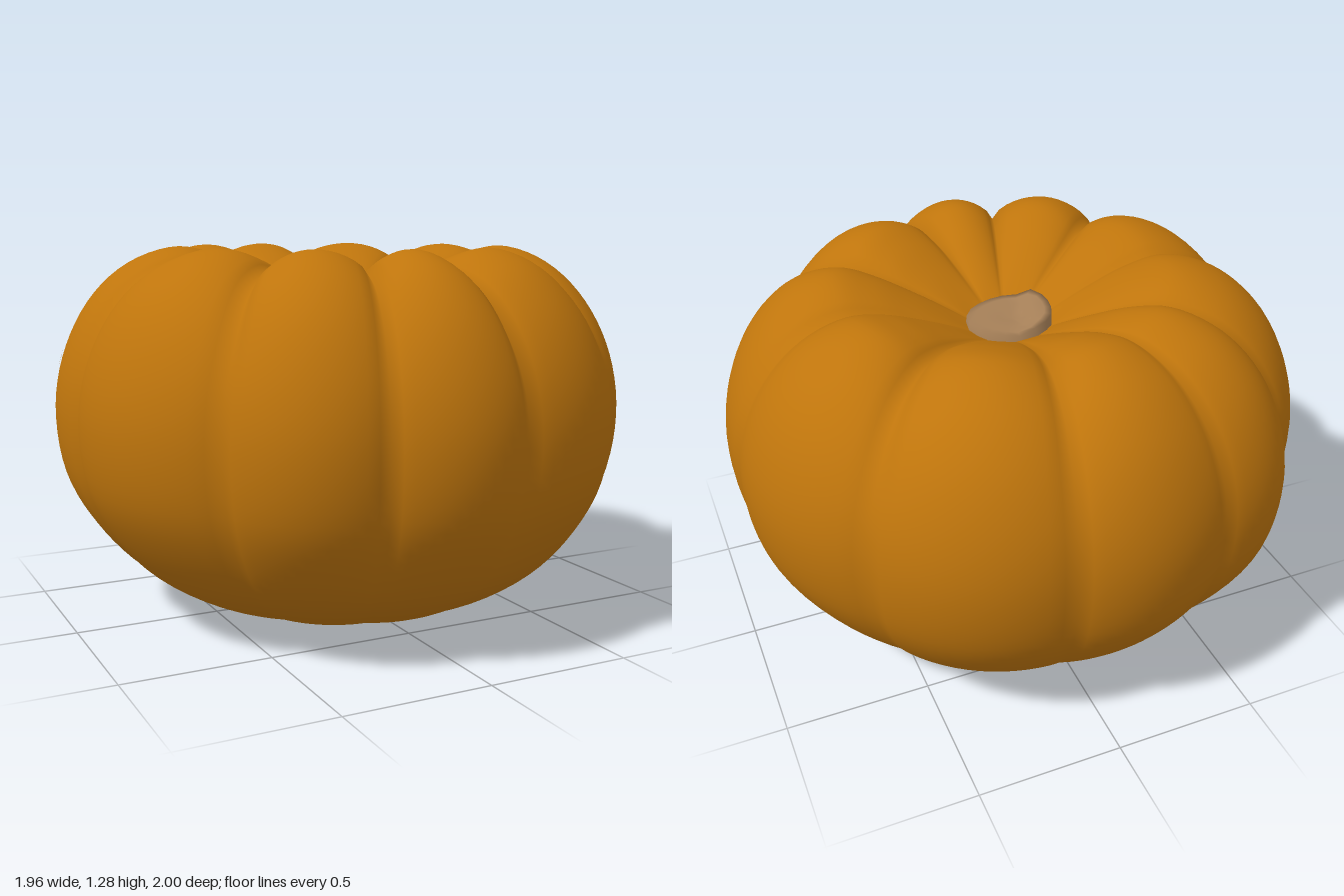
import * as THREE from 'three';

const orange = new THREE.MeshStandardMaterial({ color: 0xbf750c });
orange.name = 'orange rind';
const brown = new THREE.MeshStandardMaterial({ color: 0xa68058 });
brown.name = 'dry stem';

// Rib boundaries: angle in degrees (from +x towards +z), groove strength,
// drift near the stem, and extra fullness of the rib that follows
const grooves = [[0, 0.75, 0, -0.008], [42, 1.05, -6, -0.015], [80, 1, 0, 0], [108, 0.95, 0, 0.02],
  [138, 0.95, 6, 0.012], [180, 0.55, 0, 0.02], [219, 0.75, 0, 0.025], [247, 0.5, 0, 0.005],
  [279, 0.8, -2, 0.01], [318, 1, 2, -0.01], [360, 0.75, 0, 0]];

// Matching profiles (radius, height) from stem to base, on a rib crest and in a groove
const curve = (pts) => new THREE.CatmullRomCurve3(pts.map(([r, y]) => new THREE.Vector3(r, y, 0)));
const crest = curve([[0.11, 1.075], [0.21, 1.135], [0.32, 1.195], [0.45, 1.255], [0.58, 1.283],
  [0.74, 1.228], [0.875, 1.1], [0.965, 0.92], [1, 0.72], [0.97, 0.5], [0.88, 0.33],
  [0.755, 0.19], [0.58, 0.08], [0.4, 0.022], [0.2, 0], [0.06, 0.01]]);
const valley = curve([[0.1, 1.07], [0.2, 1.115], [0.3, 1.15], [0.42, 1.183], [0.55, 1.193],
  [0.7, 1.15], [0.82, 1.05], [0.91, 0.9], [0.945, 0.72], [0.925, 0.5], [0.855, 0.335],
  [0.745, 0.195], [0.575, 0.085], [0.4, 0.025], [0.2, 0.003], [0.06, 0.01]]);

// Point on the rind at an angle (degrees) and profile position v (0 top, 1 base)
function rindPoint(angle, v, lift = 0) {
  const { lerp, smoothstep, degToRad } = THREE.MathUtils;
  const i = Math.max(0, grooves.findIndex((g) => angle < g[0]) - 1);
  const [a0, s0, d0, full] = grooves[i], [a1, s1, d1] = grooves[i + 1];
  const t = (angle - a0) / (a1 - a0);
  // Creases are sharper over the shoulder than around the sides
  const sharp = lerp(0.62, 0.75, smoothstep(v, 0.3, 0.6));
  const bulge = Math.pow(Math.max(0, Math.sin(Math.PI * t)), sharp);
  const p = crest.getPoint(v);
  p.addScaledVector(valley.getPoint(v).sub(p), (1 - bulge) * lerp(s0, s1, t));
  const swell = full * bulge * smoothstep(v, 0.2, 0.4) * (1 - smoothstep(v, 0.6, 0.9));
  const drift = lerp(d0, d1, t) * (1 - smoothstep(v, 0.15, 0.45));
  const a = degToRad(angle + drift), r = p.x + swell + lift;
  return [r * Math.cos(a), p.y, r * Math.sin(a)];
}

function buildGeometry(positions, indices) {
  const g = new THREE.BufferGeometry();
  g.setAttribute('position', new THREE.Float32BufferAttribute(positions, 3));
  g.setIndex(indices);
  g.computeVertexNormals();
  return g;
}

// Rind: closed rings of ribs swept from the stem hollow to the base
function rindGeometry() {
  const perRib = 14, rows = 72, angles = [];
  for (let i = 0; i < grooves.length - 1; i++) {
    for (let k = 0; k < perRib; k++) {
      angles.push(THREE.MathUtils.lerp(grooves[i][0], grooves[i + 1][0], k / perRib));
    }
  }
  const n = angles.length, pos = [], idx = [];
  for (let j = 0; j <= rows; j++) {
    for (const a of angles) pos.push(...rindPoint(a, j / rows));
  }
  for (let j = 0; j < rows; j++) {
    for (let i = 0; i < n; i++) {
      const k = (i + 1) % n, a = j * n + i, b = j * n + k;
      idx.push(a, b, a + n, b, b + n, a + n);
    }
  }
  return buildGeometry(pos, idx);
}

// Stem stub: worn low top with a raised lip on one side, and a skirt down into the hollow
function stemGeometry() {
  const sides = 18, rings = [0.04, 0.08, 0.12, 0.145, 0.15], pos = [-0.02, 1.105, 0], idx = [];
  rings.forEach((r, j) => {
    for (let i = 0; i < sides; i++) {
      const a = (i / sides) * Math.PI * 2;
      const wobble = 1 + 0.05 * Math.sin(3 * a + 1);
      const x = r * wobble * Math.cos(a) - 0.02, z = r * wobble * Math.sin(a);
      const lip = 0.03 * THREE.MathUtils.smoothstep(-x - 0.3 * z, 0.05, 0.11);
      pos.push(x, j === rings.length - 1 ? 1.04 : 1.112 + lip, z);
    }
  });
  for (let i = 0; i < sides; i++) {
    const k = (i + 1) % sides;
    idx.push(0, 1 + k, 1 + i);
    for (let j = 0; j < rings.length - 1; j++) {
      const a = 1 + j * sides + i, b = 1 + j * sides + k;
      idx.push(a, b, a + sides, b, b + sides, a + sides);
    }
  }
  return buildGeometry(pos, idx);
}

// Small dry scar lying on the rind
function scarGeometry(angle, v, halfAngle, halfV) {
  const sides = 14, pos = rindPoint(angle, v, 0.005), idx = [];
  for (let i = 0; i < sides; i++) {
    const a = (i / sides) * Math.PI * 2;
    pos.push(...rindPoint(angle + halfAngle * Math.cos(a), v + halfV * Math.sin(a), 0.005));
    idx.push(0, 1 + i, 1 + ((i + 1) % sides));
  }
  return buildGeometry(pos, idx);
}

export function createModel() {
  const group = new THREE.Group();
  group.name = 'pumpkin';
  const add = (name, geometry, material) => {
    const mesh = new THREE.Mesh(geometry, material);
    mesh.name = name;
    group.add(mesh);
    return mesh;
  };
  add('rind', rindGeometry(), orange);
  add('stem', stemGeometry(), brown);
  add('sideScar', scarGeometry(197, 0.474, 1.7, 0.016), brown);
  add('lowerScar', scarGeometry(4, 0.697, 1, 0.006), brown);
  // Blossom end closing the base
  const base = add('blossomEnd', new THREE.CircleGeometry(0.07, 20), brown);
  base.rotation.x = Math.PI / 2;
  base.position.set(-0.008, 0.006, -0.006);
  return group;
}
